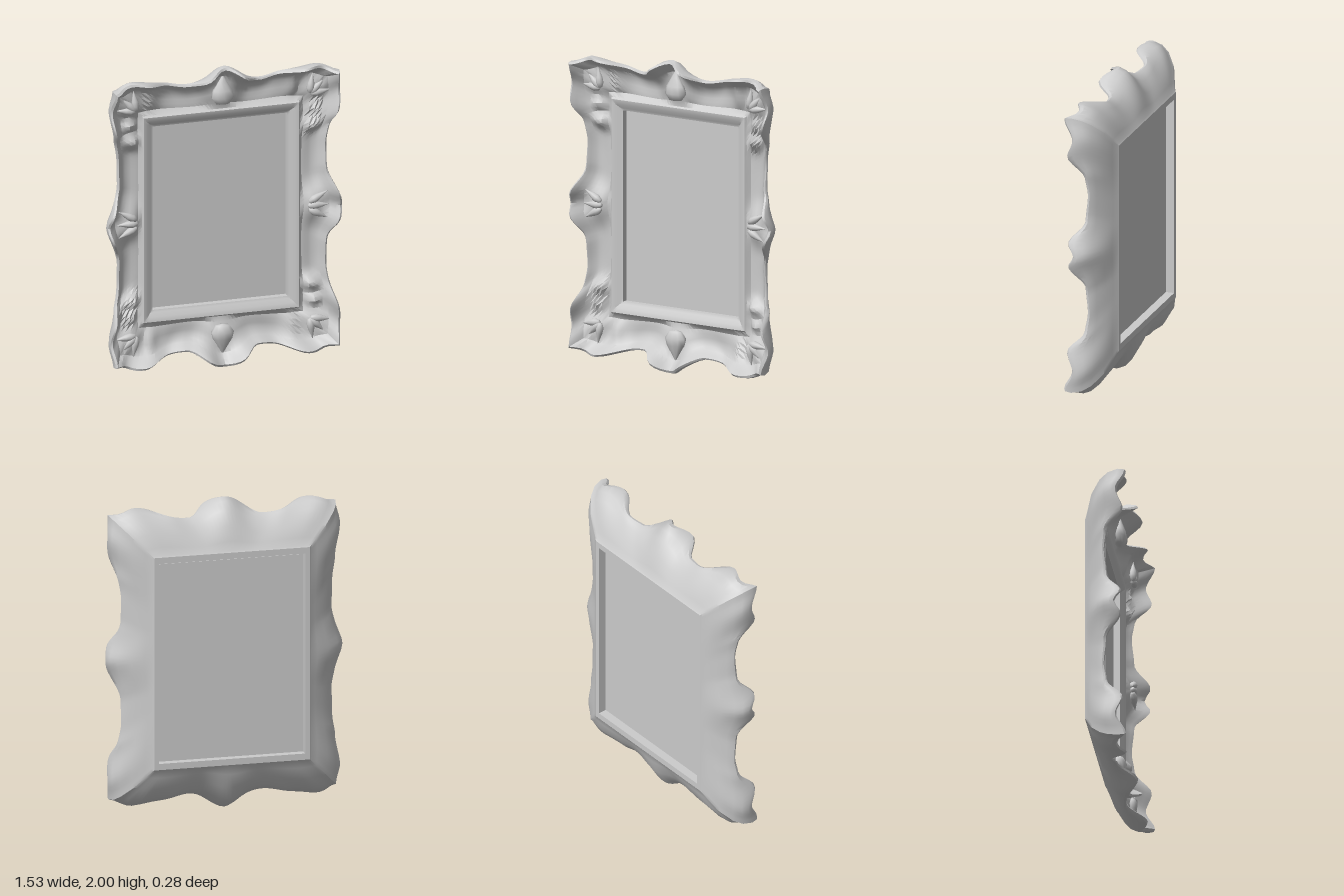
import * as THREE from 'three';
import { toCreasedNormals } from 'three/addons/utils/BufferGeometryUtils.js';

const material = new THREE.MeshStandardMaterial({ color: 0xcccccc });

// Eased interpolation through [position, value] pairs
function ease(keys, x) {
  x = Math.abs(x);
  for (let i = 1; i < keys.length; i++) {
    if (x <= keys[i][0] || i === keys.length - 1) {
      const [x0, a] = keys[i - 1], [x1, b] = keys[i];
      return a + (b - a) * THREE.MathUtils.smoothstep(x, x0, x1);
    }
  }
}

// Scalloped silhouette and rim height, measured outwards from the middle of each rail
const CX = 0.735, CY = 0.915;
const topOutline = [[0, 1], [0.24, 0.89], [0.59, 0.957], [CX, CY]];
const sideOutline = [[0, 0.767], [0.26, 0.684], [0.4, 0.684], [0.78, 0.753], [CY, CX]];
const topRim = [[0, 0.075], [0.11, 0.14], [0.23, 0.03], [0.35, 0.01], [0.53, 0.12], [0.655, 0.075], [CX, 0.14]];
const sideRim = [[0, 0.07], [0.08, 0.11], [0.22, 0.015], [0.4, 0], [0.52, 0.015], [0.66, 0.12], [0.78, 0.08], [CY, 0.14]];

// Cross-section layers: half width, half height, blend to silhouette, z, rim share, relief share
const layers = [
  [0.44, 0.61, 0, -0.09, 0, 0],
  [0.44, 0.61, 0, -0.045, 0, 0],
  [0.455, 0.625, 0, -0.04, 0, 0],
  [0.48, 0.65, 0, -0.02, 0, 0],
  [0.505, 0.68, 0, -0.015, 0, 0],
  [0.515, 0.69, 0, -0.03, 0, 0.2],
  [0.51, 0.69, 0.12, -0.05, 0, 0.8],
  [0.51, 0.69, 0.25, -0.05, 0.05, 1],
  [0.51, 0.69, 0.38, -0.055, 0.1, 1],
  [0.51, 0.69, 0.5, -0.055, 0.18, 1],
  [0.51, 0.69, 0.62, -0.05, 0.3, 1],
  [0.51, 0.69, 0.74, -0.04, 0.5, 0.7],
  [0.51, 0.69, 0.85, -0.015, 0.8, 0.3],
  [0.51, 0.69, 0.93, 0, 1, 0],
  [0.51, 0.69, 0.98, -0.005, 0.97, 0],
  [0.51, 0.69, 1, -0.015, 0.75, 0],
  [0.51, 0.69, 0.94, -0.03, 0.4, 0],
  [0.51, 0.69, 0.8, -0.05, 0.15, 0],
  [0.51, 0.69, 0.5, -0.09, 0, 0],
  [0.51, 0.69, 0.2, -0.12, 0, 0],
  [0.515, 0.695, 0, -0.138, 0, 0],
  [0.505, 0.685, 0, -0.145, 0, 0],
  [0.475, 0.645, 0, -0.145, 0, 0],
  [0.475, 0.645, 0, -0.09, 0, 0],
];

// Soft carved relief in the hollow: x, y, radius x, radius y, height
const reliefs = [
  [0, 0.8, 0.11, 0.12, 0.05], [0.6, 0, 0.08, 0.1, 0.06],
  [0.6, 0.78, 0.09, 0.1, 0.06], [0.47, 0.8, 0.05, 0.07, 0.04],
  [0.585, 0.53, 0.06, 0.05, 0.06], [0.6, 0.64, 0.05, 0.05, 0.06],
];
function relief(x, y) {
  let h = 0;
  for (const [cx, cy, rx, ry, k] of reliefs) {
    h = Math.max(h, k * Math.exp(-(((Math.abs(x) - cx) / rx) ** 2) - ((Math.abs(y) - cy) / ry) ** 2));
  }
  return h;
}

// Moulding swept around four mitred rails
function mouldingGeometry() {
  const stations = [];
  const add = (count, make) => {
    for (let i = 0; i < count; i++) stations.push(make(-1 + (2 * i) / count));
  };
  const side = (s) => (u) => ({ ux: s, uy: s * u, px: s * ease(sideOutline, u * CY), py: s * u * CY, rim: ease(sideRim, u * CY) });
  const top = (s) => (u) => ({ ux: -s * u, uy: s, px: -s * u * CX, py: s * ease(topOutline, u * CX), rim: ease(topRim, u * CX) });
  add(60, side(1));
  add(52, top(1));
  add(60, side(-1));
  add(52, top(-1));

  const positions = [], index = [];
  const m = layers.length, n = stations.length;
  for (const s of stations) {
    for (const [hx, hy, t, z, k, w] of layers) {
      const x = THREE.MathUtils.lerp(hx * s.ux, s.px, t);
      const y = THREE.MathUtils.lerp(hy * s.uy, s.py, t);
      positions.push(x, y, z + k * s.rim + w * relief(x, y));
    }
  }
  for (let i = 0; i < n; i++) {
    const a = i * m, b = ((i + 1) % n) * m;
    for (let j = 0; j < m; j++) {
      const q = (j + 1) % m;
      index.push(a + j, a + q, b + q, a + j, b + q, b + j);
    }
  }
  const g = new THREE.BufferGeometry();
  g.setAttribute('position', new THREE.Float32BufferAttribute(positions, 3));
  g.setIndex(index);
  return toCreasedNormals(g, 0.6);
}

// Pointed leaf along +y, round at its base and flattened in z
function leafGeometry(length, width, depth) {
  const pts = [[0, -0.4], [0.3, -0.36], [0.5, -0.15], [0.42, 0.08], [0.2, 0.35], [0, 0.6]];
  const g = new THREE.LatheGeometry(pts.map(([r, y]) => new THREE.Vector2(r, y)), 10);
  return g.scale(width, length, depth);
}

export function createModel() {
  const group = new THREE.Group();
  const add = (geometry, name, x, y, z, angle = 0) => {
    const mesh = new THREE.Mesh(geometry, material);
    mesh.name = name;
    mesh.position.set(x, y, z);
    mesh.rotation.z = angle;
    group.add(mesh);
  };

  add(mouldingGeometry(), 'carvedMoulding', 0, 1, 0);
  add(new THREE.BoxGeometry(0.92, 1.26, 0.01), 'panel', 0, 1, -0.09);

  // Drops on the top and bottom rails, tips outwards
  const drop = leafGeometry(0.2, 0.15, 0.09);
  const leaf = leafGeometry(0.14, 0.05, 0.05);
  for (const s of [1, -1]) {
    add(drop, s > 0 ? 'topDrop' : 'bottomDrop', 0, 1 + s * 0.81, 0.01, s > 0 ? 0 : Math.PI);
  }
  for (const sx of [1, -1]) {
    // Shell of three leaves at the middle of each side rail
    for (const k of [-1, 0, 1]) {
      add(leaf, 'sideShellLeaf', sx * 0.61, 1 + k * 0.05, 0.02, -sx * (Math.PI / 2 - k * 0.5));
    }
    // Fanned leaves in each corner
    for (const sy of [1, -1]) {
      for (const k of [-1, 0, 1]) {
        const a = Math.PI / 4 + k * 0.65;
        add(leaf, 'cornerLeaf', sx * (0.565 + 0.06 * Math.cos(a)), 1 + sy * (0.745 + 0.06 * Math.sin(a)), 0.02,
          Math.atan2(sy * Math.sin(a), sx * Math.cos(a)) - Math.PI / 2);
      }
    }
  }
  return group;
}
